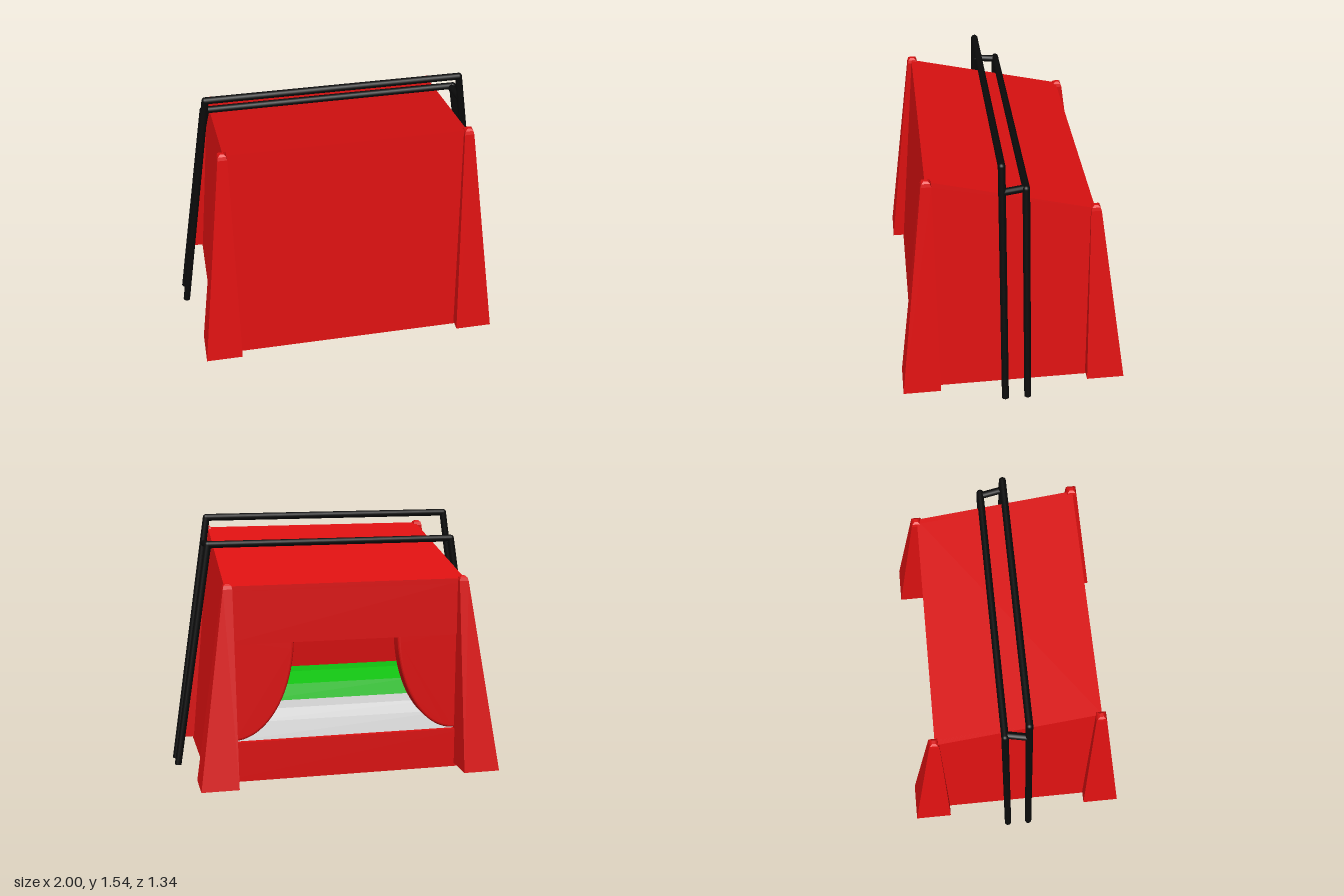
import * as THREE from 'three';

const paint = (color) => new THREE.MeshStandardMaterial({ color, side: THREE.DoubleSide });

export function createModel() {
  const model = new THREE.Group();
  const red = paint(0xdd1111), black = paint(0x0a0a0a), green = paint(0x11c011), grey = paint(0xcccccc);

  const add = (name, geometry, material) => {
    const mesh = new THREE.Mesh(geometry, material);
    mesh.name = name;
    model.add(mesh);
    return mesh;
  };

  // Leaning planes of the shelter: half width and front depth at a height, roof height at a depth
  const sideX = (y) => 0.83 - 0.13 * (y / 1.41);
  const frontZ = (y) => 0.6 - 0.12 * (y / 1.41);
  const roofY = (z) => 1.41 + (z - 0.48) * 0.25;
  const BACK = -0.47, WALL = 0.03;

  // Prism of a [z, y] profile running across x, with ends that may lean with height
  const prism = (profile, xa, xb) => {
    const shape = new THREE.Shape(profile.map(([z, y]) => new THREE.Vector2(-z, y)));
    let g = new THREE.ExtrudeGeometry(shape, { depth: 1, bevelEnabled: false });
    if (g.index) g = g.toNonIndexed();
    const p = g.attributes.position;
    for (let i = 0; i < p.count; i++) {
      const y = p.getY(i), a = xa(y), b = xb(y);
      p.setXYZ(i, a + (b - a) * p.getZ(i), y, -p.getX(i));
    }
    g.computeVertexNormals();
    return g;
  };
  const across = (profile, inset = 0) =>
    prism(profile, (y) => inset - sideX(y), (y) => sideX(y) - inset);

  // Body shell
  add('frontWall', across([[0.6, 0], [0.48, 1.41], [0.45, 1.4], [0.57, 0]]), red);
  add('roof', across([[0.48, 1.41], [BACK, roofY(BACK)], [BACK, roofY(BACK) - WALL], [0.48, 1.38]]), red);
  add('base', across([[frontZ(0) - 0.01, 0], [frontZ(0.24) - 0.01, 0.24], [BACK, 0.24], [BACK, 0]], 0.005), red);
  add('backHeader', across([[0.04, roofY(0.04) - 0.01], [BACK, roofY(BACK) - 0.01], [BACK, 0.83], [0.04, 0.95]], 0.002), red);
  const wall = [[0.6, 0], [0.48, 1.41], [BACK, roofY(BACK)], [BACK, 0]];
  add('leftWall', prism(wall, (y) => sideX(y) - WALL, sideX), red);
  add('rightWall', prism(wall, (y) => -sideX(y), (y) => WALL - sideX(y)), red);

  // Padded bench and back pad with faceted edges
  const fixed = (w) => [() => -w, () => w];
  add('bench', prism([[-0.44, 0.24], [-0.4, 0.34], [-0.34, 0.4], [-0.24, 0.42], [-0.24, 0.24]], ...fixed(0.74)), grey);
  add('backPad', prism([[0, 0.24], [0, 0.35], [0.03, 0.45], [0.16, 0.5], [0.3, 0.5], [0.3, 0.24]], ...fixed(0.6)), green);

  // Curved cheeks at both sides of the back opening
  const cheek = new THREE.Shape();
  cheek.moveTo(0.73, 0.86);
  cheek.lineTo(0.33, 0.86);
  cheek.absellipse(0.68, 0.86, 0.35, 0.6, Math.PI, Math.PI * 1.5, false);
  cheek.lineTo(0.73, 0.26);
  const cheekGeo = new THREE.ExtrudeGeometry(cheek, {
    depth: 0.08, curveSegments: 20, bevelSize: 0.015, bevelThickness: 0.015, bevelSegments: 3,
  });

  // Flared corner post, hollow from below, with a small rounded cap
  const post = (top) => {
    const rings = [
      [0.02, 0.68, 0.9, 0.445, 0.67],
      [top - 0.03, 0.68, 0.735, 0.445, 0.505],
      [top - 0.01, 0.685, 0.73, 0.452, 0.498],
      [top, 0.697, 0.718, 0.464, 0.486],
    ].map(([y, x0, x1, z0, z1]) => [[x0, y, z1], [x1, y, z1], [x1, y, z0], [x0, y, z0]]);
    const v = [];
    const quad = (a, b, c, d) => v.push(...a, ...b, ...c, ...a, ...c, ...d);
    for (let r = 0; r < rings.length - 1; r++) {
      for (let i = 0; i < 4; i++) {
        const j = (i + 1) % 4;
        quad(rings[r][i], rings[r][j], rings[r + 1][j], rings[r + 1][i]);
      }
    }
    quad(...rings[rings.length - 1]);
    const g = new THREE.BufferGeometry();
    g.setAttribute('position', new THREE.Float32BufferAttribute(v, 3));
    g.computeVertexNormals();
    return g;
  };
  const frontPost = post(1.425), backPost = post(1.19);

  for (const [side, s] of [['left', 1], ['right', -1]]) {
    add(side + 'FrontPost', frontPost, red).scale.set(s, 1, 1);
    add(side + 'BackPost', backPost, red).scale.set(s, 1, -1);
    const c = add(side + 'Cheek', cheekGeo, red);
    c.scale.x = s;
    c.position.z = -0.445;
  }

  // Round bars
  const R = 0.021;
  const bar = (name, a, b) => {
    const from = new THREE.Vector3(...a), to = new THREE.Vector3(...b);
    const dir = to.clone().sub(from);
    const m = add(name, new THREE.CylinderGeometry(R, R, dir.length(), 16), black);
    m.position.copy(from).add(to).multiplyScalar(0.5);
    m.quaternion.setFromUnitVectors(new THREE.Vector3(0, 1, 0), dir.normalize());
  };

  // Two hoops over the shelter, tied together near the top
  for (const [name, z, x, y] of [['frontHoop', 0.065, 0.755, 1.515], ['backHoop', -0.07, 0.765, 1.365]]) {
    bar(name + 'Top', [-x, y, z], [x, y, z]);
    for (const s of [1, -1]) {
      bar(name + 'Leg', [s * 0.979, 0.003, z], [s * x, y, z]);
      add(name + 'Corner', new THREE.SphereGeometry(R, 16, 10), black).position.set(s * x, y, z);
    }
  }
  for (const s of [1, -1]) bar('hoopTie', [s * 0.777, 1.36, 0.065], [s * 0.75, 1.36, -0.07]);

  return model;
}
